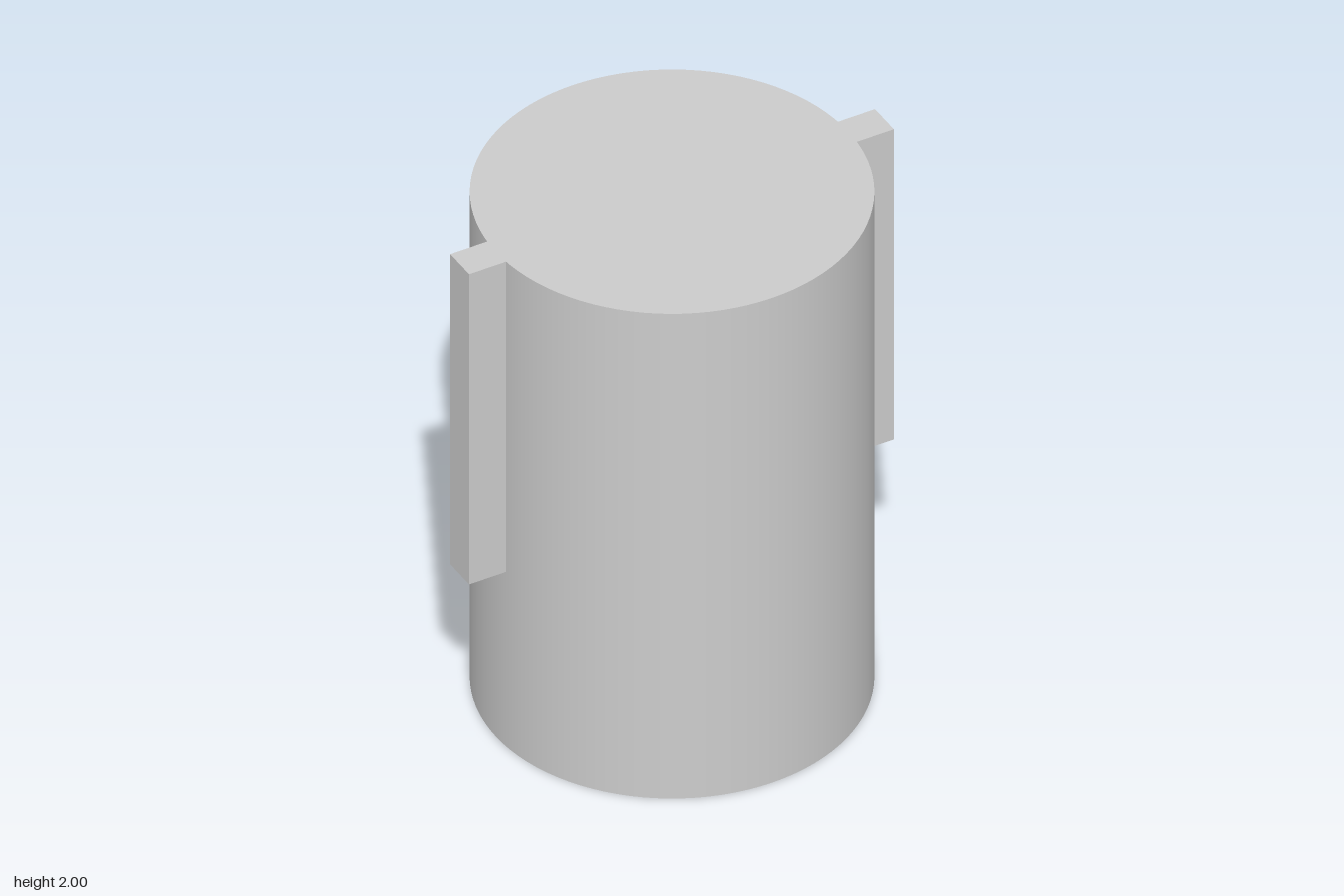
import * as THREE from 'three';

const HEIGHT = 2, RADIUS = 0.666, SEGMENTS = 96;
const HEX_RADIUS = 0.533, HEX_DEPTH = 0.267;
const BORE_RADIUS = 0.333, BORE_TOP = 1.6;
const FIN_BOTTOM = 0.72, FIN_TIP = 0.803, FIN_ROOT = 0.655, FIN_WIDTH = 0.126;

// Closed outline with corners on a circle, first corner on the z axis
function ringPoints(radius, sides) {
  return Array.from({ length: sides }, (_, i) => {
    const a = (i / sides) * Math.PI * 2;
    return new THREE.Vector2(Math.sin(a) * radius, Math.cos(a) * radius);
  });
}

// Flat downward-facing plate with a hole, at height y
function holedPlate(outer, hole, y) {
  const shape = new THREE.Shape(outer);
  shape.holes.push(new THREE.Path(hole));
  return new THREE.ShapeGeometry(shape).rotateX(Math.PI / 2).translate(0, y, 0);
}

export function createModel() {
  const group = new THREE.Group();
  const grey = new THREE.MeshStandardMaterial({ color: 0xcccccc, side: THREE.DoubleSide });
  grey.name = 'light grey';

  const add = (name, geometry) => {
    const mesh = new THREE.Mesh(geometry, grey);
    mesh.name = name;
    group.add(mesh);
    return mesh;
  };
  const tube = (radius, sides, y0, y1) =>
    new THREE.CylinderGeometry(radius, radius, y1 - y0, sides, 1, true).translate(0, (y0 + y1) / 2, 0);
  const disc = (radius, y, turn) =>
    new THREE.CircleGeometry(radius, SEGMENTS).rotateX(turn).translate(0, y, 0);

  // Round body
  add('bodyWall', tube(RADIUS, SEGMENTS, 0, HEIGHT));
  add('topFace', disc(RADIUS, HEIGHT, -Math.PI / 2));

  // Underside with hexagonal socket
  const hex = ringPoints(HEX_RADIUS, 6);
  add('bottomFace', holedPlate(ringPoints(RADIUS, SEGMENTS), hex, 0));
  const socket = tube(HEX_RADIUS, 6, 0, HEX_DEPTH).toNonIndexed();
  socket.computeVertexNormals();
  add('hexSocketWall', socket);
  add('hexSocketFloor', holedPlate(hex, ringPoints(BORE_RADIUS, SEGMENTS), HEX_DEPTH));

  // Blind round bore above the socket
  add('boreWall', tube(BORE_RADIUS, SEGMENTS, HEX_DEPTH, BORE_TOP));
  add('boreEnd', disc(BORE_RADIUS, BORE_TOP, Math.PI / 2));

  // Side keys
  for (const [name, side] of [['leftKey', 1], ['rightKey', -1]]) {
    const key = add(name, new THREE.BoxGeometry(FIN_TIP - FIN_ROOT, HEIGHT - FIN_BOTTOM, FIN_WIDTH));
    key.position.set(side * (FIN_TIP + FIN_ROOT) / 2, (HEIGHT + FIN_BOTTOM) / 2, 0);
  }
  return group;
}
